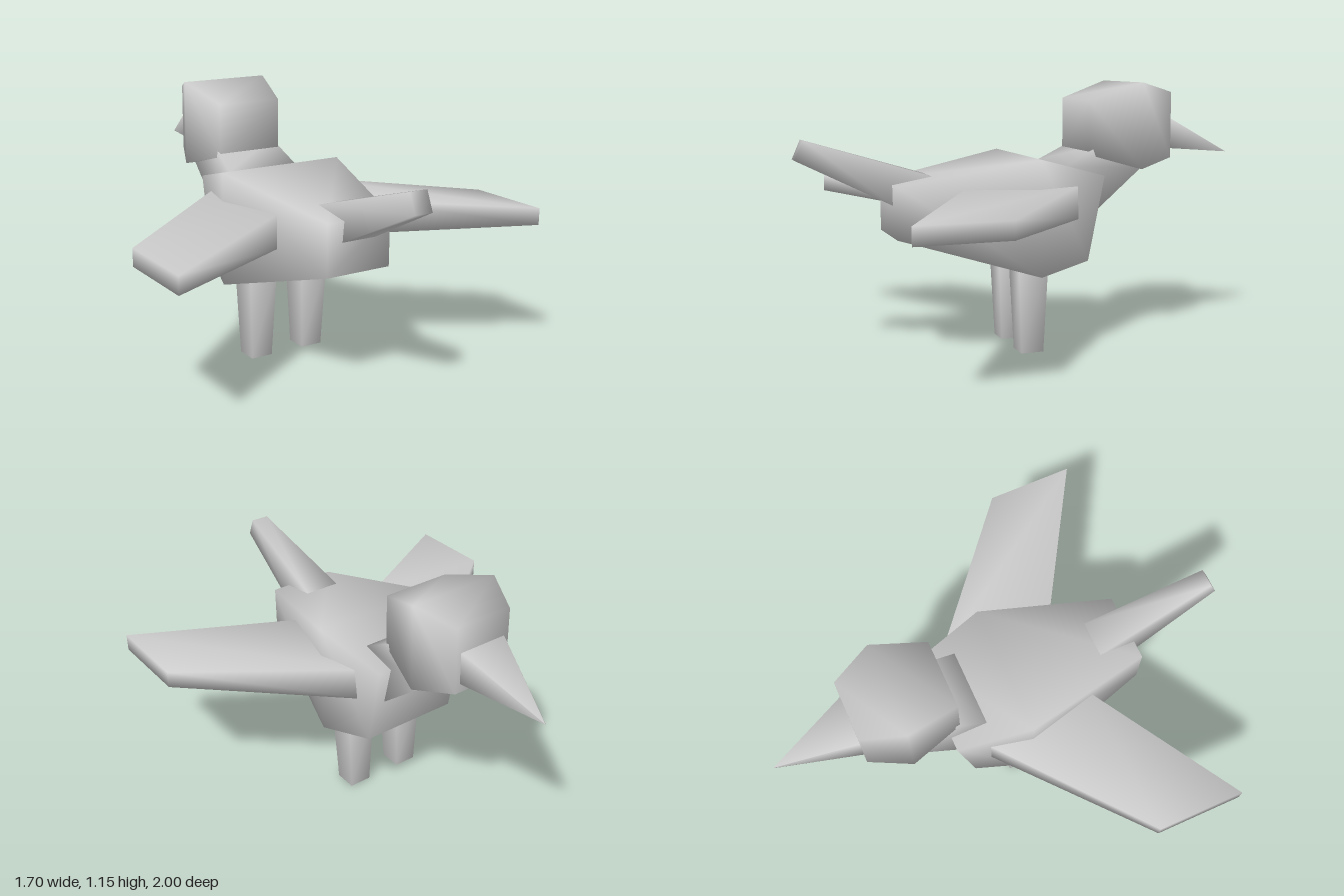
import * as THREE from 'three';

const material = new THREE.MeshStandardMaterial({ color: 0xcccccc });

// Closed smooth skin over four-cornered rings; each ring runs counter-clockwise
// as seen from outside the first end.
function loft(name, rings) {
  const index = [0, 1, 2, 0, 2, 3];
  for (let s = 0; s < rings.length - 1; s++) {
    for (let i = 0; i < 4; i++) {
      const a = s * 4 + i, b = s * 4 + (i + 1) % 4;
      index.push(a, a + 4, b, b, a + 4, b + 4);
    }
  }
  const e = (rings.length - 1) * 4;
  index.push(e, e + 2, e + 1, e, e + 3, e + 2);
  const geometry = new THREE.BufferGeometry();
  geometry.setAttribute('position', new THREE.Float32BufferAttribute(rings.flat(2), 3));
  geometry.setIndex(index);
  geometry.computeVertexNormals();
  const mesh = new THREE.Mesh(geometry, material);
  mesh.name = name;
  return mesh;
}

// Ring symmetric about x = 0, from an upper and a lower edge
const ring = (w, zTop, yTop, zLow, yLow) =>
  [[-w, yLow, zLow], [w, yLow, zLow], [w, yTop, zTop], [-w, yTop, zTop]];

// Ring in a plane of constant x, used for the wings
const wingRing = (x, zBack, zFront, yLow, yTop) =>
  [[x, yLow, zBack], [x, yLow, zFront], [x, yTop, zFront], [x, yTop, zBack]];

const mirrorRings = rings =>
  rings.map(r => r.map(([x, y, z]) => [-x, y, z]).reverse());

export function createModel() {
  const bird = new THREE.Group();
  bird.name = 'bird';

  // Body, rear to chest
  bird.add(loft('body', [
    ring(0.15, 0.61, 0.74, 0.61, 0.52),
    ring(0.29, 0.03, 0.845, 0.03, 0.35),
    ring(0.22, -0.285, 0.76, -0.21, 0.395),
  ]));

  // Neck, slanting up from the chest into the head
  bird.add(loft('neck', [
    ring(0.17, -0.125, 0.8, -0.24, 0.58),
    ring(0.15, -0.3, 0.89, -0.49, 0.78),
  ]));

  // Head
  bird.add(loft('head', [
    ring(0.15, -0.24, 1.08, -0.24, 0.845),
    ring(0.205, -0.47, 1.155, -0.47, 0.78),
    ring(0.13, -0.645, 1.11, -0.645, 0.82),
  ]));

  // Beak, a pyramid with a drooping point
  bird.add(loft('beak', [
    ring(0.11, -0.64, 1.0, -0.64, 0.86),
    ring(0.001, -1, 0.828, -1, 0.825),
  ]));

  // Tail, raised toward its tip
  bird.add(loft('tail', [
    ring(0.04, 0.965, 0.93, 1.0, 0.85),
    ring(0.08, 0.44, 0.77, 0.6, 0.65),
  ]));

  // Swept-back wings, tip to root
  const wing = [
    wingRing(0.85, 0.73, 0.35, 0.617, 0.69),
    wingRing(0.21, 0.34, -0.18, 0.58, 0.725),
  ];
  bird.add(loft('leftWing', wing), loft('rightWing', mirrorRings(wing)));

  // Tapered legs
  for (const [name, x] of [['leftLeg', 0.13], ['rightLeg', -0.13]]) {
    const leg = loft(name, [
      ring(0.05, 0.08, 0, -0.02, 0),
      ring(0.066, 0.097, 0.39, -0.036, 0.39),
    ]);
    leg.position.x = x;
    bird.add(leg);
  }
  return bird;
}
